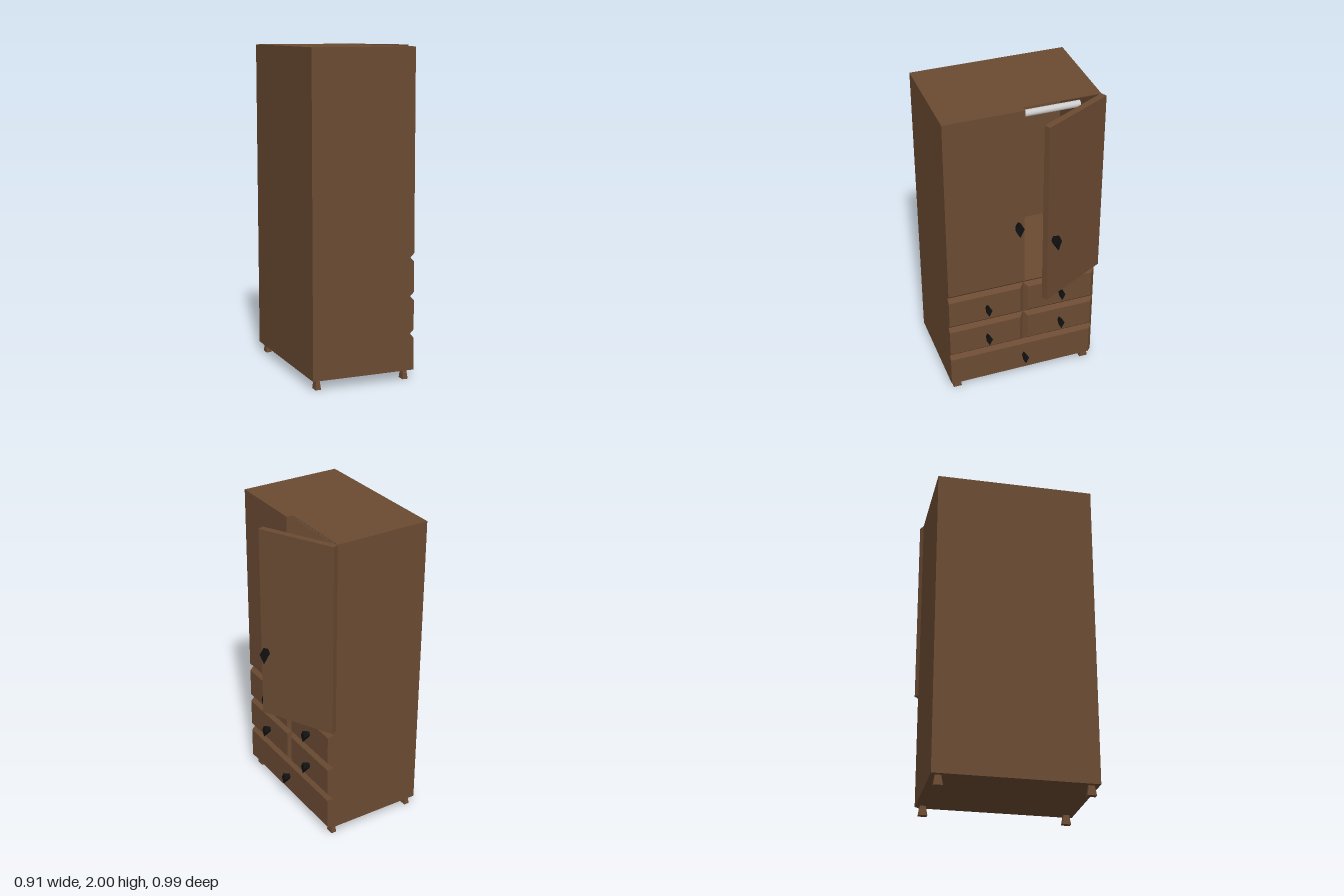
import * as THREE from 'three';

const wood = new THREE.MeshStandardMaterial({ color: 0x6b4b32, flatShading: true, side: THREE.DoubleSide });
const black = new THREE.MeshStandardMaterial({ color: 0x111111, flatShading: true });
const metal = new THREE.MeshStandardMaterial({ color: 0xcccccc });

// Main extents: the cabinet opens toward +x
const BACK = -0.455, RECESS = 0.155, FRONT = 0.195, NOTCH = 0.17;
const RIGHT = -0.48, LEFT = 0.495, BASE = 0.06, DECK = 0.78, TOP = 2;

function add(parent, name, geometry, material) {
  const mesh = new THREE.Mesh(geometry, material);
  mesh.name = name;
  parent.add(mesh);
  return mesh;
}

// Box given by its minimum and maximum on each axis
function slab(x0, x1, y0, y1, z0, z1) {
  return new THREE.BoxGeometry(x1 - x0, y1 - y0, z1 - z0)
    .translate((x0 + x1) / 2, (y0 + y1) / 2, (z0 + z1) / 2);
}

// Slab on the front whose outer face is inset on chosen edges
function bevelled(y0, y1, z0, z1, { bottom = 0, top = 0, right = 0, left = 0 }) {
  const g = slab(NOTCH, FRONT, y0, y1, z0, z1);
  const p = g.attributes.position;
  const ym = (y0 + y1) / 2, zm = (z0 + z1) / 2;
  for (let i = 0; i < p.count; i++) {
    if (p.getX(i) < (NOTCH + FRONT) / 2) continue;
    p.setY(i, p.getY(i) > ym ? y1 - top : y0 + bottom);
    p.setZ(i, p.getZ(i) > zm ? z1 - left : z0 + right);
  }
  g.computeVertexNormals();
  return g;
}

// Diamond knob flaring outward along +x from its base
function knob(parent, name, x, y, z, width, height) {
  const g = new THREE.CylinderGeometry(0.5, 0.24, 0.047, 4)
    .rotateZ(-Math.PI / 2)
    .scale(1, height, width);
  add(parent, name, g, black).position.set(x + 0.0235, y, z);
}

export function createModel() {
  const model = new THREE.Group();
  model.name = 'wardrobe';

  // Lower chest and the thin shell of the upper cupboard
  const t = 0.005;
  add(model, 'chestBody', slab(BACK, NOTCH, BASE, DECK, RIGHT, LEFT), wood);
  add(model, 'backPanel', slab(BACK, BACK + t, DECK, TOP, RIGHT, LEFT), wood);
  add(model, 'rightSidePanel', slab(BACK + t, RECESS, DECK, TOP - t, RIGHT, RIGHT + t), wood);
  add(model, 'leftSidePanel', slab(BACK + t, RECESS, DECK, TOP - t, LEFT - t, LEFT), wood);
  add(model, 'topPanel', slab(BACK + t, RECESS, TOP - t, TOP, RIGHT, LEFT), wood);

  // Hanging rail
  const rail = add(model, 'hangingRail',
    new THREE.CylinderGeometry(0.022, 0.022, LEFT - RIGHT - 2 * t, 16).rotateX(Math.PI / 2), metal);
  rail.position.set(-0.14, 1.775, (LEFT + RIGHT) / 2);

  // Closed door
  add(model, 'closedDoor', slab(RECESS, FRONT, DECK, TOP, 0, LEFT), wood);
  knob(model, 'closedDoorKnob', FRONT, 1.21, 0.045, 0.058, 0.112);

  // Open door, swung out on its hinge edge
  const door = new THREE.Group();
  door.name = 'openDoor';
  add(door, 'openDoorPanel', slab(0, 0.04, DECK, TOP, 0, 0.49), wood);
  knob(door, 'openDoorKnob', 0.04, 1.21, 0.445, 0.058, 0.112);
  door.position.set(RECESS, 0, RIGHT);
  door.rotation.y = THREE.MathUtils.degToRad(27.5);
  model.add(door);

  // Lip under the cupboard and bevelled drawer fronts
  const b = 0.026;
  add(model, 'lip', bevelled(0.752, DECK, RIGHT, LEFT, { bottom: b }), wood);
  for (const [y0, y1, ky] of [[0.515, 0.752, 0.635], [0.285, 0.515, 0.4]]) {
    add(model, 'rightDrawer', bevelled(y0, y1, RIGHT, 0, { bottom: b, top: b, right: b, left: b }), wood);
    add(model, 'leftDrawer', bevelled(y0, y1, 0, LEFT, { bottom: b, top: b, right: b }), wood);
    knob(model, 'rightDrawerKnob', FRONT, ky, -0.24, 0.042, 0.084);
    knob(model, 'leftDrawerKnob', FRONT, ky, 0.248, 0.042, 0.084);
  }
  add(model, 'bottomDrawer', bevelled(BASE, 0.285, RIGHT, LEFT, { top: b, right: b }), wood);
  knob(model, 'bottomDrawerKnob', FRONT, 0.17, 0.002, 0.042, 0.084);

  // Feet, slightly wider at the floor
  for (const x of [-0.415, 0.15]) {
    for (const z of [-0.435, 0.447]) {
      const foot = new THREE.CylinderGeometry(0.46, 0.707, BASE, 4)
        .rotateY(Math.PI / 4)
        .scale(0.035, 1, 0.055);
      add(model, 'foot', foot, wood).position.set(x, BASE / 2, z);
    }
  }
  return model;
}
